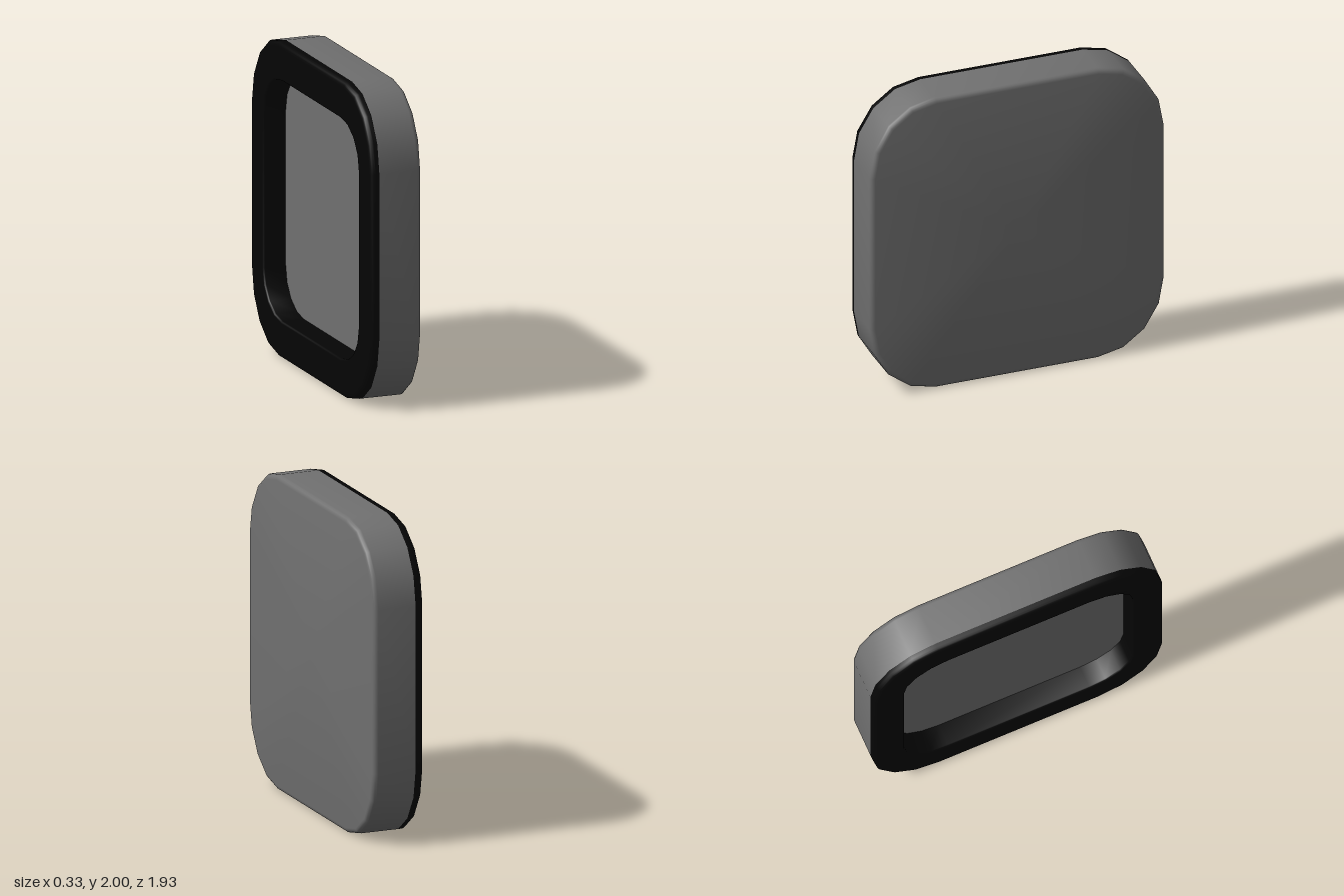
import * as THREE from 'three';
import { toCreasedNormals } from 'three/addons/utils/BufferGeometryUtils.js';

const OUTER = { z: 0.967, y: 1, rz: 0.435, ry: 0.48 };
const INNER = { z: 0.762, y: 0.762, rz: 0.29, ry: 0.27 };
const CORNER_STEPS = 4;

// Rounded rectangle in the plane of x, shrunk all round by inset
function ring(x, size, inset = 0) {
  const points = [];
  const rz = size.rz - inset, ry = size.ry - inset;
  for (let corner = 0; corner < 4; corner++) {
    const sz = corner === 0 || corner === 3 ? 1 : -1;
    const sy = corner < 2 ? 1 : -1;
    for (let i = 0; i <= CORNER_STEPS; i++) {
      const t = (corner + i / CORNER_STEPS) * Math.PI / 2;
      points.push(new THREE.Vector3(
        x,
        1 + sy * (size.y - size.ry) + ry * Math.sin(t),
        sz * (size.z - size.rz) + rz * Math.cos(t)));
    }
  }
  return points;
}

// All points of a ring drawn together at the centre, to close a flat face
const centre = (x) => ring(x, { z: 0, y: 0, rz: 0, ry: 0 });

// Skin over successive rings
function loft(rings) {
  const pos = [];
  const triangle = (a, b, c) => {
    const area = b.clone().sub(a).cross(c.clone().sub(a)).length();
    if (area > 1e-9) for (const p of [a, b, c]) pos.push(p.x, p.y, p.z);
  };
  for (let i = 0; i < rings.length - 1; i++) {
    const n = rings[i].length;
    for (let j = 0; j < n; j++) {
      const k = (j + 1) % n;
      const a = rings[i][j], b = rings[i][k], c = rings[i + 1][k], d = rings[i + 1][j];
      triangle(a, d, b);
      triangle(b, d, c);
    }
  }
  const geometry = new THREE.BufferGeometry();
  geometry.setAttribute('position', new THREE.Float32BufferAttribute(pos, 3));
  return toCreasedNormals(geometry, 0.65);
}

// Quarter-round edge: fn receives sine and cosine of each step
function quarter(fn, steps = 4) {
  return Array.from({ length: steps + 1 }, (_, i) => {
    const t = i / steps * Math.PI / 2;
    return fn(Math.sin(t), Math.cos(t));
  });
}

export function createModel() {
  const group = new THREE.Group();
  const grey = new THREE.MeshStandardMaterial({ color: 0x707070 });
  const black = new THREE.MeshStandardMaterial({ color: 0x050505 });
  const add = (name, rings, material) => {
    const mesh = new THREE.Mesh(loft(rings), material);
    mesh.name = name;
    group.add(mesh);
  };
  const half = 0.167, seam = -0.112, edge = 0.032, lip = 0.012, floor = -0.018;

  // Shell with a softly rounded edge around its flat face
  add('shell', [
    ring(seam, OUTER),
    ...quarter((s, c) => ring(half - edge + edge * s, OUTER, edge * (1 - c))),
    centre(half),
  ], grey);

  // Dark rim: recess wall, inner lip, flat face and rounded outer edge
  add('rim', [
    ring(floor, INNER),
    ...quarter((s, c) => ring(-half + lip - lip * s, INNER, -lip * (1 - c)), 3),
    ...quarter((s, c) => ring(-half + edge * (1 - c), OUTER, edge * (1 - s))),
    ring(seam, OUTER),
  ], black);

  // Flat panel at the bottom of the recess
  add('recessedPanel', [centre(floor), ring(floor, INNER)], grey);

  return group;
}
